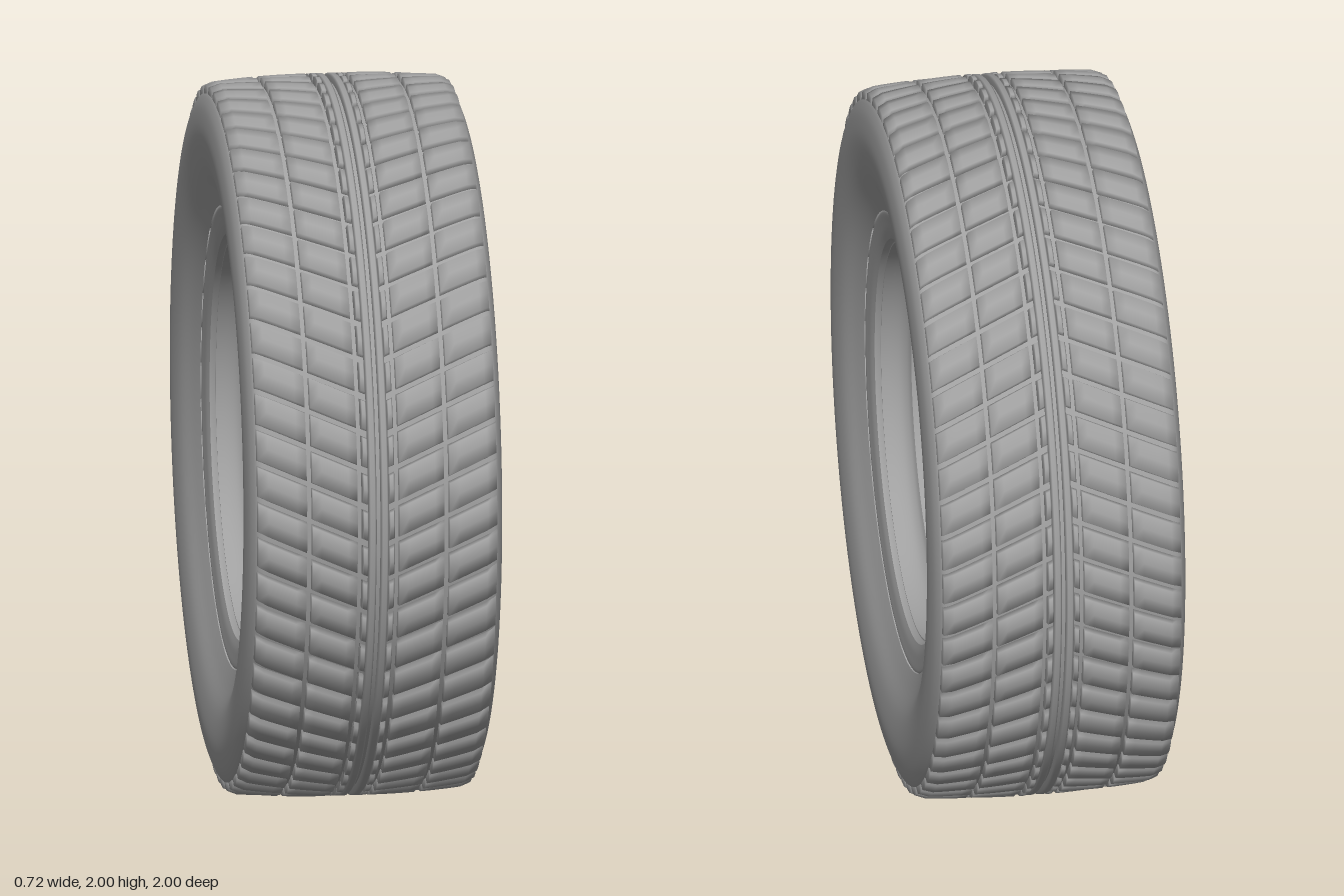
import * as THREE from 'three';
import { mergeGeometries, mergeVertices } from 'three/addons/utils/BufferGeometryUtils.js';
import { ParametricGeometry } from 'three/addons/geometries/ParametricGeometry.js';

const grey = new THREE.MeshStandardMaterial({ color: 0xa0a0a0, side: THREE.DoubleSide });
const SEG = 128, PITCH = 60, HOLES = 16;
const HOLE_R = 0.052, RING_R = 0.358, RING_HALF = 0.075, THICK = 0.04;
const HUB_X = 0.035, BARREL_R = 0.51;

function mesh(name, geometry) {
  const m = new THREE.Mesh(geometry, grey);
  m.name = name;
  return m;
}

// Revolve [radius, x] points about the x axis, optionally smoothed by a spline
function revolve(points, smooth = 0, segments = SEG) {
  let pts = points.map(([r, x]) => new THREE.Vector2(r, x));
  if (smooth) pts = new THREE.SplineCurve(pts).getPoints(smooth);
  return new THREE.LatheGeometry(pts, segments).rotateZ(-Math.PI / 2);
}

const mirror = pts => pts.map(([r, x]) => [r, -x]).reverse();

// Tread surface radius across the width, falling away at the shoulders
function crown(x) {
  const a = Math.abs(x);
  return 1 - 0.14 * a * a - 8 * Math.max(0, a - 0.3) ** 2;
}

// Curved, slanted tread block with softly rounded shading
function treadBlock(side, near, far, angle, span, slant) {
  let g = new THREE.BoxGeometry(1, 1, 1, 5, 1, 2);
  g.deleteAttribute('uv');
  g.deleteAttribute('normal');
  g = mergeVertices(g);
  const p = g.attributes.position;
  const mid = side * (near + far) / 2, bevel = 0.006;
  for (let i = 0; i < p.count; i++) {
    const top = p.getY(i) > 0, z = p.getZ(i);
    const x = mid + p.getX(i) * (far - near - (top ? bevel : 0));
    const t = angle - slant * Math.abs(x) + z * (span - (top ? 2 * bevel : 0));
    const r = crown(x) - (top ? 0.008 * Math.abs(z) : 0.03);
    p.setXYZ(i, x, r * Math.cos(t), r * Math.sin(t));
  }
  g.computeVertexNormals();
  return g;
}

// Outer face of the wheel disc: sunken hub rising to the hole ring, then falling to the barrel
function faceX(r) {
  const s = THREE.MathUtils.smoothstep;
  return HUB_X + 0.085 * s(r, 0.19, 0.37) - 0.02 * s(r, 0.39, BARREL_R);
}

// One part of the pierced ring: a round hole blended out to a ring sector
function holePatch(index, depthA, depthB, spread) {
  return new ParametricGeometry((u, v, target) => {
    const a = u * Math.PI * 2, c = Math.cos(a), s = Math.sin(a);
    const m = Math.max(Math.abs(c), Math.abs(s)), k = spread ? v : 0;
    const r = RING_R + THREE.MathUtils.lerp(HOLE_R * c, RING_HALF * c / m, k);
    const t = index * 2 * Math.PI / HOLES
      + THREE.MathUtils.lerp(HOLE_R * s / RING_R, Math.atan(s / m) * 4 / HOLES, k);
    const depth = THREE.MathUtils.lerp(depthA, depthB, v);
    target.set(faceX(r) - depth, r * Math.cos(t), r * Math.sin(t));
  }, 32, spread ? 4 : 1);
}

// Plain ring of the disc between two radii
function discRing(rA, rB, depth) {
  const pts = [];
  for (let i = 0; i <= 10; i++) {
    const r = THREE.MathUtils.lerp(rA, rB, i / 10);
    pts.push([r, faceX(r) - depth]);
  }
  return revolve(pts);
}

function buildTyre() {
  const tyre = new THREE.Group();
  tyre.name = 'tyre';

  // Carcass: tread base, shoulder and sidewall, mirrored
  const half = [[0.978, 0], [0.974, 0.15], [0.968, 0.28], [0.96, 0.325], [0.938, 0.343],
    [0.9, 0.354], [0.84, 0.358], [0.76, 0.345], [0.69, 0.318], [0.642, 0.3]];
  tyre.add(mesh('carcass', revolve([...mirror(half).slice(0, -1), ...half], 72)));

  // Slanted tread blocks in two columns per side, plus a notched centre strip
  const step = 2 * Math.PI / PITCH;
  const columns = { innerBlocks: [0.056, 0.186, 0.9, 0.45], shoulderBlocks: [0.196, 0.335, 0.9, 0.45],
    centreNotches: [0.026, 0.047, 0.85, 0.45] };
  for (const [name, [near, far, fill, slant]] of Object.entries(columns)) {
    const parts = [];
    for (const side of [-1, 1])
      for (let i = 0; i < PITCH; i++)
        parts.push(treadBlock(side, near, far, i * step, step * fill, slant));
    tyre.add(mesh(name, mergeGeometries(parts)));
  }

  // Continuous ribs either side of the centre groove
  for (const side of [-1, 1]) {
    const a = side * 0.017 - 0.011, b = side * 0.017 + 0.011;
    tyre.add(mesh('centreRib', revolve([[0.972, a], [0.994, a], [0.999, a + 0.005],
      [0.999, b - 0.005], [0.994, b], [0.972, b]])));
  }
  return tyre;
}

function buildRim() {
  const rim = new THREE.Group();
  rim.name = 'rim';

  // On each side: flush flange, a small step, then a rounded seat down to the barrel
  const flange = [[0.642, 0.292], [0.637, 0.298], [0.61, 0.295], [0.585, 0.291], [0.563, 0.284]];
  const step = [[0.563, 0.284], [0.558, 0.268], [0.552, 0.268]];
  const seat = [[0.552, 0.268], [0.549, 0.24], [0.54, 0.215], [0.525, 0.198], [BARREL_R, 0.19]];
  const sections = { flange: [flange, 16], step: [step, 0], seat: [seat, 16] };
  for (const [name, [points, smooth]] of Object.entries(sections))
    rim.add(mesh(name, revolve(points, smooth)), mesh(name, revolve(mirror(points), smooth)));
  rim.add(mesh('barrel', revolve([[BARREL_R, 0.19], [BARREL_R, -0.19]])));

  // Disc: plain rings with a band of round holes between them
  const inner = RING_R - RING_HALF, outer = RING_R + RING_HALF;
  const front = [discRing(BARREL_R, outer, 0), discRing(inner, 0, 0)];
  const back = [discRing(outer, BARREL_R, THICK), discRing(0, inner, THICK)];
  rim.add(mesh('discFront', mergeGeometries(front)), mesh('discBack', mergeGeometries(back)));
  for (let i = 0; i < HOLES; i++) {
    rim.add(mesh('holeBandFront', holePatch(i, 0, 0, true)));
    rim.add(mesh('holeBandBack', holePatch(i, THICK, THICK, true)));
    rim.add(mesh('holeWall', holePatch(i, 0, THICK, false)));
  }
  return rim;
}

function buildHub() {
  const hub = new THREE.Group();
  hub.name = 'hub';
  hub.position.x = HUB_X;

  // Raised mounting plate with a soft edge
  hub.add(mesh('hubPlate', revolve([[0.234, 0], [0.226, 0.01], [0.212, 0.014], [0.195, 0.014], [0, 0.014]])));

  // Centre cap, showing on both faces of the disc
  hub.add(mesh('centreCap', revolve([[0.001, -0.06], [0.06, -0.058], [0.074, -0.05], [0.074, 0.026],
    [0.068, 0.036], [0.05, 0.04], [0.001, 0.042]], 0, 48)));

  // Four domed wheel bolts
  for (const y of [-0.086, 0.086])
    for (const z of [-0.124, 0.124]) {
      const bolt = mesh('wheelBolt', revolve([[0.001, -0.06], [0.024, -0.056], [0.034, -0.044], [0.034, 0.024],
        [0.03, 0.037], [0.018, 0.046], [0.001, 0.049]], 0, 24));
      bolt.position.set(0, y, z);
      hub.add(bolt);
    }
  return hub;
}

export function createModel() {
  const wheel = new THREE.Group();
  wheel.name = 'wheel';
  wheel.add(buildTyre(), buildRim(), buildHub());
  wheel.position.y = 1;
  const model = new THREE.Group();
  model.name = 'roadWheel';
  model.add(wheel);
  return model;
}
